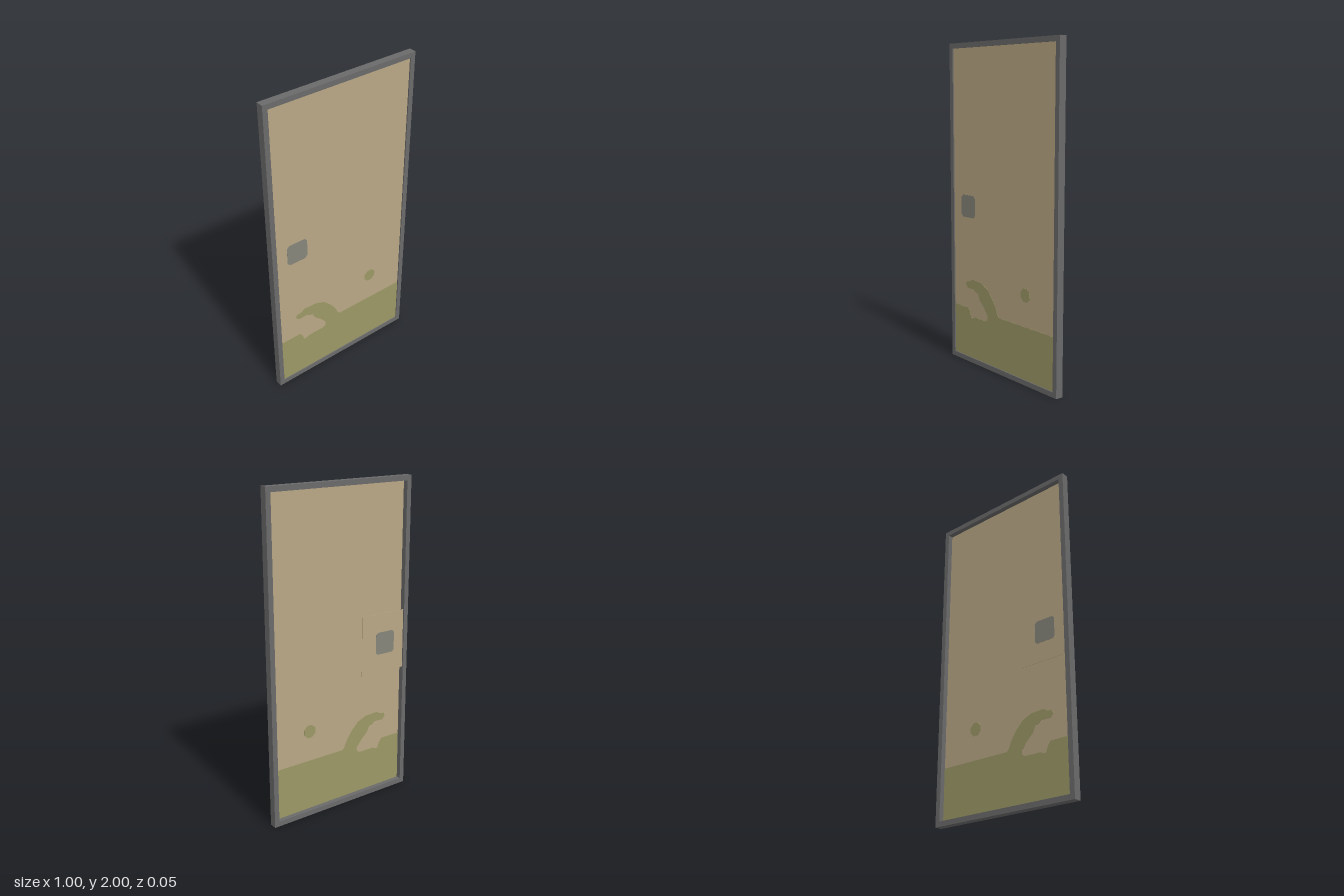
import * as THREE from 'three';

const W = 0.5, H = 2, D = 0.0235, B = 0.031; // half width, height, half depth, border

const mat = (name, color) => {
  const m = new THREE.MeshStandardMaterial({ color });
  m.name = name;
  return m;
};

const polygon = (points) => new THREE.Shape(points.map(([x, y]) => new THREE.Vector2(x, y)));
const rect = (x0, y0, x1, y1) => polygon([[x0, y0], [x1, y0], [x1, y1], [x0, y1]]);

// Square with clipped corners
const clipped = (cx, cy, r, c) => polygon([
  [cx - r + c, cy - r], [cx + r - c, cy - r], [cx + r, cy - r + c], [cx + r, cy + r - c],
  [cx + r - c, cy + r], [cx - r + c, cy + r], [cx - r, cy + r - c], [cx - r, cy - r + c],
]);

export function createModel() {
  const group = new THREE.Group();
  group.name = 'slidingDoor';
  const grey = mat('frame grey', 0x6a6a6a);
  const tan = mat('paper tan', 0xbaa785);
  const green = mat('wave green', 0x9c9866);
  const handleGrey = mat('handle grey', 0x85857a);

  // Flat part filling a shape between two depths
  const add = (name, shape, material, z0, z1) => {
    const geo = new THREE.ExtrudeGeometry(shape, { depth: z1 - z0, bevelEnabled: false });
    geo.translate(0, 0, z0);
    const mesh = new THREE.Mesh(geo, material);
    mesh.name = name;
    group.add(mesh);
  };

  // Outer frame
  const frame = rect(-W, 0, W, H);
  frame.holes.push(rect(-W + B, B, W - B, H - B));
  add('frame', frame, grey, -D, D);

  // Panel set toward the front of the frame
  const zb = 0.008, zf = 0.016, e = 0.001;
  add('panel', rect(-W + B, B, W - B, H - B), tan, zb, zf);

  // Painted wave, showing on both sides of the panel
  const wave = polygon([
    [-W + B, B], [W - B, B], [W - B, 0.35], [-0.02, 0.35], [-0.035, 0.365], [-0.055, 0.41],
    [-0.09, 0.46], [-0.14, 0.51], [-0.2, 0.535], [-0.29, 0.54], [-0.31, 0.525], [-0.345, 0.52],
    [-0.355, 0.5], [-0.335, 0.478], [-0.27, 0.48], [-0.255, 0.465], [-0.23, 0.46], [-0.21, 0.42],
    [-0.17, 0.385], [-0.13, 0.335], [-0.135, 0.31], [-0.155, 0.3], [-0.26, 0.3], [-0.28, 0.29],
    [-0.3, 0.29], [-0.31, 0.32], [-0.33, 0.35], [-W + B, 0.35],
  ]);
  add('wave', wave, green, zb - e, zf + e);
  add('waveDrop', clipped(0.222, 0.54, 0.04, 0.024), green, zb - e, zf + e);

  // Front handle, and the back handle on its own plate
  add('frontHandle', clipped(-0.325, 1, 0.07, 0.018), handleGrey, zf, zf + e);
  add('backHandlePlate', rect(-W + B, 0.8125, -0.15, 1.1875), tan, -0.0156, -0.0136);
  add('backHandle', clipped(-0.327, 1, 0.07, 0.014), handleGrey, -0.0166, -0.0156);

  return group;
}
